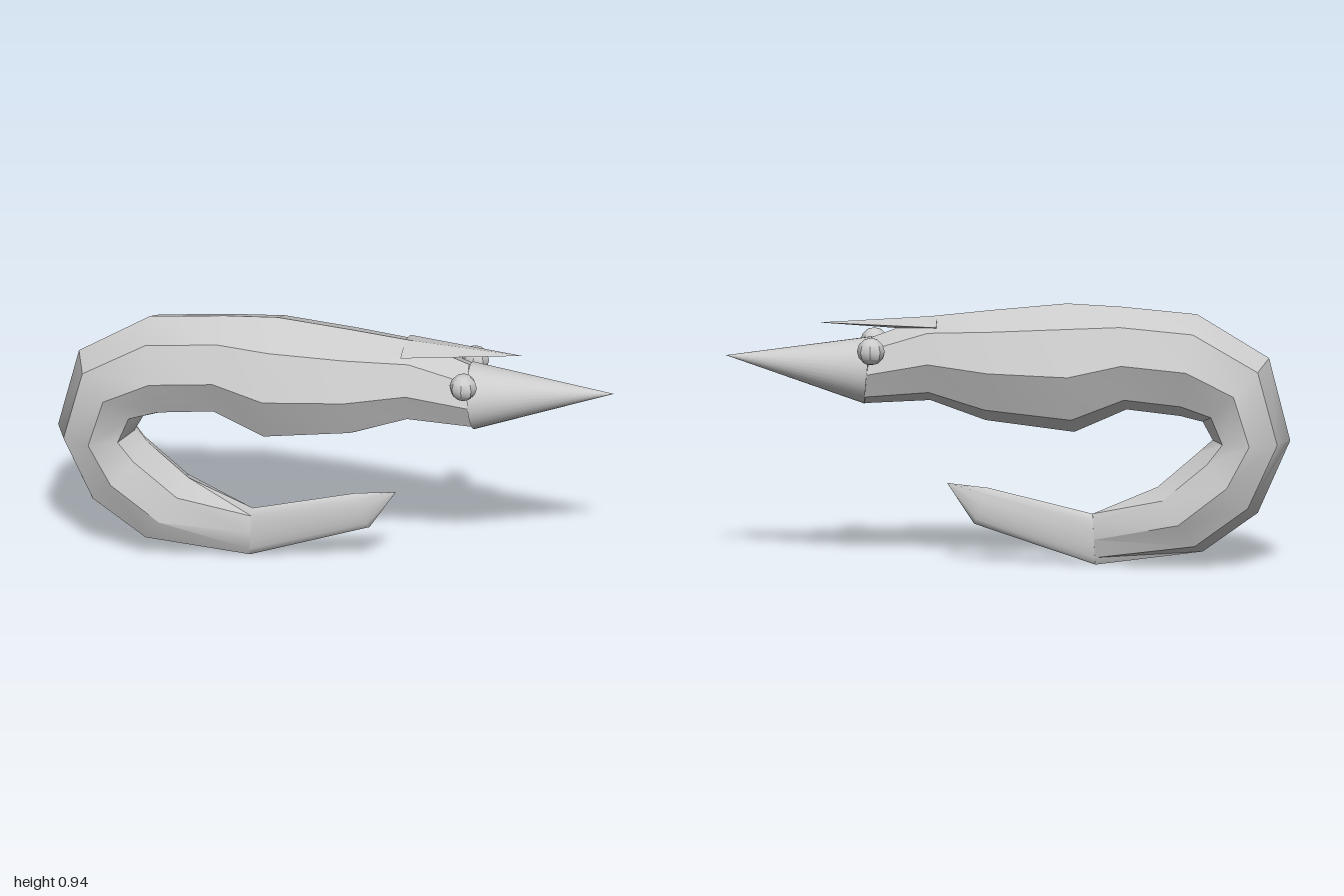
import * as THREE from 'three';
import { toCreasedNormals } from 'three/addons/utils/BufferGeometryUtils.js';

const material = new THREE.MeshStandardMaterial({ color: 0xcccccc });

// Skin through elliptical rings, each [backX, backY, bellyX, bellyY, halfWidth].
function loft(rings, sides, crease) {
  const pos = [], index = [];
  rings.forEach(([ox, oy, ix, iy, w]) => {
    for (let j = 0; j < sides; j++) {
      const t = (j / sides) * Math.PI * 2, c = Math.cos(t);
      pos.push((ox + ix) / 2 + c * (ox - ix) / 2, (oy + iy) / 2 + c * (oy - iy) / 2, Math.sin(t) * w);
    }
  });
  for (let i = 0; i < rings.length - 1; i++) {
    for (let j = 0; j < sides; j++) {
      const k = (j + 1) % sides;
      const a = i * sides + j, b = i * sides + k, c = a + sides, d = b + sides;
      index.push(a, c, b, b, c, d);
    }
  }
  const g = new THREE.BufferGeometry();
  g.setAttribute('position', new THREE.Float32BufferAttribute(pos, 3));
  g.setIndex(index);
  return toCreasedNormals(g, crease);
}

export function createModel() {
  const group = new THREE.Group();
  const add = (name, geometry) => {
    const mesh = new THREE.Mesh(geometry, material);
    mesh.name = name;
    group.add(mesh);
    return mesh;
  };

  // Curled eight-sided body, from head to tail root
  add('body', loft([
    [0.48, 0.81, 0.51, 0.572, 0.118],
    [0.28, 0.885, 0.275, 0.585, 0.152],
    [0.05, 0.91, 0.08, 0.515, 0.2],
    [-0.21, 0.935, -0.235, 0.475, 0.23],
    [-0.4, 0.925, -0.42, 0.557, 0.187],
    [-0.67, 0.9, -0.61, 0.535, 0.185],
    [-0.925, 0.745, -0.69, 0.515, 0.17],
    [-1, 0.45, -0.725, 0.45, 0.16],
    [-0.885, 0.19, -0.68, 0.41, 0.155],
    [-0.69, 0.05, -0.53, 0.28, 0.146],
    [-0.31, 0, -0.3, 0.182, 0.018],
  ], 8, 0.65));

  // Thin flat tail blade ending in a point
  add('tail', loft([
    [-0.31, 0, -0.3, 0.182, 0.018],
    [0.12, 0.143, 0.07, 0.272, 0.017],
    [0.215, 0.287, 0.213, 0.288, 0.001],
  ], 16, 0.9));

  // Long smooth cone of the snout
  const base = new THREE.Vector3(0.495, 0.691, 0), tip = new THREE.Vector3(1, 0.74, 0);
  const snout = add('snout', new THREE.ConeGeometry(0.12, base.distanceTo(tip), 32));
  snout.position.copy(base).add(tip).multiplyScalar(0.5);
  snout.quaternion.setFromUnitVectors(new THREE.Vector3(0, 1, 0), tip.sub(base).normalize());

  // Flat four-sided spike over the head
  const spike = new THREE.ConeGeometry(1, 1, 4).rotateZ(-Math.PI / 2).scale(0.42, 0.027, 0.1);
  add('headSpike', toCreasedNormals(spike, 0.2)).position.set(0.46, 0.86, 0);

  // Eyes on both sides
  for (const side of [1, -1]) {
    const eye = add(side > 0 ? 'frontEye' : 'backEye', toCreasedNormals(new THREE.SphereGeometry(0.049, 8, 6), 0.6));
    eye.position.set(0.48, 0.776, side * 0.119);
  }
  return group;
}
